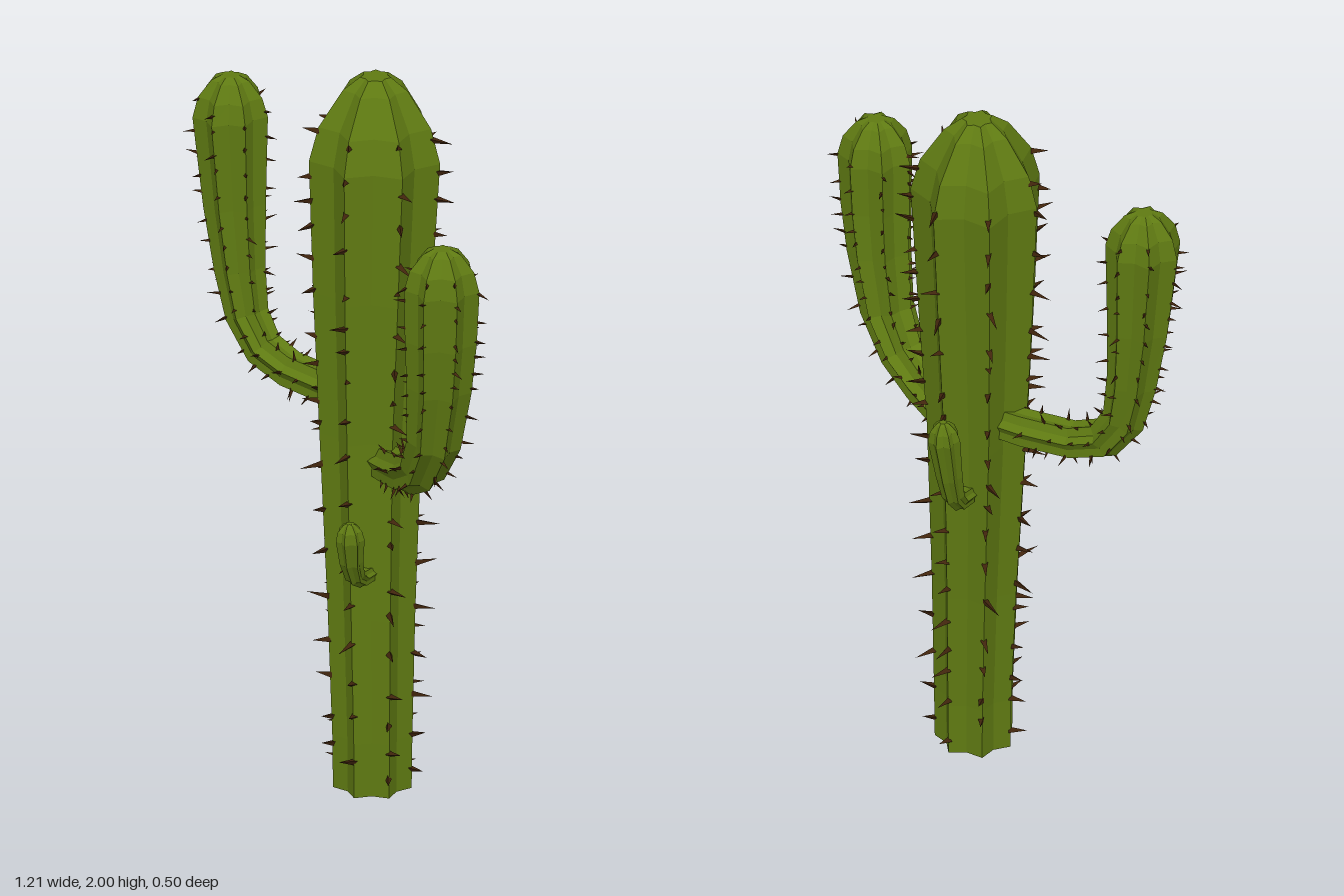
import * as THREE from 'three';
import { mergeGeometries } from 'three/addons/utils/BufferGeometryUtils.js';

const RIBS = 7, VALLEY = 0.77;
const UP = new THREE.Vector3(0, 1, 0);
const green = new THREE.MeshStandardMaterial({ color: 0x5f7a12, flatShading: true });
const brown = new THREE.MeshStandardMaterial({ color: 0x40240c, flatShading: true });

function seeded(seed) {
  return () => (seed = (seed * 16807) % 2147483647) / 2147483647;
}

// Turn [x, y, z, radius] stations into rings whose first rib faces `out` once the limb is upright
function makeRings(stations, out) {
  const centres = stations.map(([x, y, z]) => new THREE.Vector3(x, y, z));
  const side = UP.clone().cross(out).normalize();
  return centres.map((c, i) => {
    const next = centres[Math.min(i + 1, centres.length - 1)];
    const t = next.clone().sub(centres[Math.max(i - 1, 0)]).normalize();
    const u = side.clone().cross(t).normalize();
    return { c, t, u, v: t.clone().cross(u), r: stations[i][3] };
  });
}

const spoke = (ring, a) =>
  ring.u.clone().multiplyScalar(Math.cos(a)).addScaledVector(ring.v, Math.sin(a));

// Star-shaped skin through the rings, closed at both ends
function ribbedSkin(rings) {
  const n = RIBS * 2, pos = [], index = [];
  for (const ring of rings) {
    for (let i = 0; i < n; i++) {
      const p = spoke(ring, (i / n) * Math.PI * 2)
        .multiplyScalar(ring.r * (i % 2 ? VALLEY : 1)).add(ring.c);
      pos.push(p.x, p.y, p.z);
    }
  }
  const last = rings.length - 1, foot = rings.length * n, tip = foot + 1;
  for (const k of [0, last]) pos.push(...rings[k].c.toArray());
  for (let i = 0; i < n; i++) {
    const j = (i + 1) % n;
    for (let k = 0; k < last; k++) {
      const a = k * n + i, b = k * n + j;
      index.push(a, b, b + n, a, b + n, a + n);
    }
    index.push(foot, j, i, tip, last * n + i, last * n + j);
  }
  const g = new THREE.BufferGeometry();
  g.setAttribute('position', new THREE.Float32BufferAttribute(pos, 3));
  g.setIndex(index);
  g.computeVertexNormals();
  return g;
}

// Slim three-sided thorns at uneven steps along every rib
function thorns(rings, { step, length, width, from, seed }) {
  const rand = seeded(seed), parts = [];
  for (let rib = 0; rib < RIBS; rib++) {
    const angle = (rib / RIBS) * Math.PI * 2;
    let wait = from + rand() * step;
    for (let k = 0; k < rings.length - 3; k++) {
      const a = rings[k], b = rings[k + 1], span = a.c.distanceTo(b.c);
      while (wait < span) {
        const f = wait / span;
        const out = spoke(a, angle).lerp(spoke(b, angle), f).normalize();
        const root = a.c.clone().lerp(b.c, f)
          .addScaledVector(out, THREE.MathUtils.lerp(a.r, b.r, f) - 0.006);
        const dir = out.clone()
          .addScaledVector(a.t, (rand() - 0.5) * 0.6)
          .addScaledVector(a.t.clone().cross(out), (rand() - 0.5) * 1.1).normalize();
        const len = length * (0.7 + rand() * 0.6);
        parts.push(new THREE.ConeGeometry(width, len, 3)
          .translate(0, len / 2, 0)
          .applyQuaternion(new THREE.Quaternion().setFromUnitVectors(UP, dir))
          .translate(root.x, root.y, root.z));
        wait += step * (0.6 + rand() * 0.8);
      }
      wait -= span;
    }
  }
  return mergeGeometries(parts);
}

function limb(name, stations, out, spines) {
  const group = new THREE.Group();
  group.name = name;
  const rings = makeRings(stations, new THREE.Vector3(...out));
  const add = (part, geometry, material) => {
    const mesh = new THREE.Mesh(geometry, material);
    mesh.name = name + part;
    group.add(mesh);
  };
  add('Skin', ribbedSkin(rings), green);
  if (spines) add('Thorns', thorns(rings, spines), brown);
  return group;
}

export function createModel() {
  const model = new THREE.Group();
  model.name = 'cactus';

  // Trunk, widening upward to a rounded crown
  model.add(limb('trunk', [
    [0.053, 0, 0.03, 0.106], [0.053, 0.15, 0.03, 0.108], [0.043, 0.5, 0.025, 0.118],
    [0.022, 1.0, 0.012, 0.138], [0.014, 1.4, 0.0, 0.16], [0.005, 1.77, -0.014, 0.177],
    [0.002, 1.865, -0.017, 0.152], [0, 1.965, -0.02, 0.088], [0, 2.0, -0.02, 0.042],
  ], [0, 0, -1], { step: 0.1, length: 0.05, width: 0.01, from: 0.04, seed: 11 }));

  // Two large arms bending outward and up
  model.add(limb('rightArm', [
    [-0.03, 1.06, 0.0, 0.05], [-0.14, 1.065, 0.015, 0.052], [-0.28, 1.075, 0.045, 0.052],
    [-0.37, 1.11, 0.065, 0.055], [-0.428, 1.195, 0.078, 0.06], [-0.453, 1.32, 0.083, 0.07],
    [-0.472, 1.5, 0.086, 0.085], [-0.485, 1.75, 0.09, 0.102], [-0.486, 1.805, 0.09, 0.087],
    [-0.486, 1.85, 0.09, 0.052], [-0.486, 1.863, 0.09, 0.026],
  ], [-0.98, 0, 0.18], { step: 0.065, length: 0.032, width: 0.006, from: 0.12, seed: 23 }));

  model.add(limb('leftArm', [
    [0.05, 0.935, 0.02, 0.048], [0.16, 0.955, 0.05, 0.052], [0.28, 0.985, 0.085, 0.058],
    [0.37, 1.035, 0.105, 0.064], [0.435, 1.14, 0.117, 0.074], [0.467, 1.31, 0.123, 0.088],
    [0.48, 1.45, 0.127, 0.097], [0.485, 1.6, 0.128, 0.102], [0.486, 1.655, 0.128, 0.087],
    [0.486, 1.7, 0.128, 0.052], [0.486, 1.713, 0.128, 0.026],
  ], [0.97, 0, 0.24], { step: 0.06, length: 0.032, width: 0.006, from: 0.14, seed: 37 }));

  // Two smooth young shoots
  model.add(limb('frontShoot', [
    [0.1, 0.632, 0.07, 0.022], [0.133, 0.642, 0.128, 0.024], [0.155, 0.668, 0.165, 0.027],
    [0.168, 0.72, 0.187, 0.032], [0.177, 0.79, 0.198, 0.039], [0.178, 0.815, 0.2, 0.033],
    [0.178, 0.832, 0.201, 0.018], [0.178, 0.836, 0.201, 0.01],
  ], [0.5, 0, 0.86]));

  model.add(limb('backShoot', [
    [-0.02, 0.85, -0.08, 0.025], [-0.035, 0.865, -0.135, 0.028], [-0.045, 0.905, -0.168, 0.031],
    [-0.051, 0.98, -0.19, 0.036], [-0.055, 1.11, -0.216, 0.044], [-0.055, 1.14, -0.219, 0.036],
    [-0.055, 1.16, -0.221, 0.02], [-0.055, 1.166, -0.221, 0.011],
  ], [-0.2, 0, -0.98]));

  return model;
}
